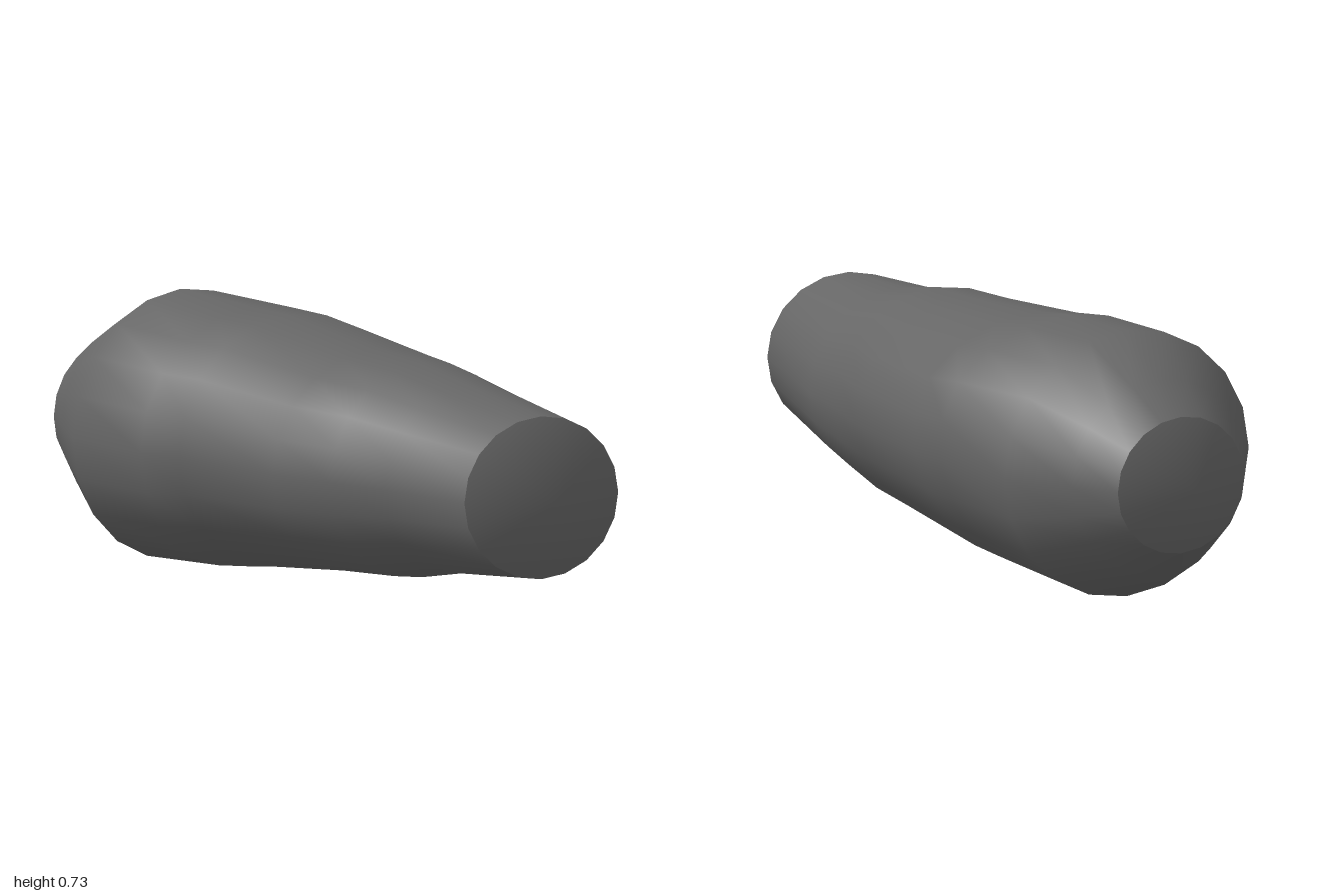
import * as THREE from 'three';

const SIDES = 20, CY = 0.37;

// Cross-sections back to front: [x right side, z there, x left side, z there, half height, upper-left bulge]
const RINGS = [
  [-0.21, -0.92, 0.185, -0.92, 0.188, 0],
  [-0.286, -0.8, 0.255, -0.8, 0.267, 0],
  [-0.4, -0.62, 0.36, -0.62, 0.366, 0],
  [-0.41, -0.33, 0.392, -0.33, 0.354, 0.02],
  [-0.37, -0.22, 0.405, -0.22, 0.343, 0.03],
  [-0.365, 0.16, 0.365, 0.16, 0.304, 0.015],
  [-0.33, 0.36, 0.315, 0.36, 0.293, 0],
  [-0.295, 0.54, 0.285, 0.54, 0.258, 0],
  [-0.27, 0.84, 0.163, 0.97, 0.222, 0],
];

function ringPoints([x0, z0, x1, z1, ry, bulge]) {
  const points = [];
  for (let j = 0; j < SIDES; j++) {
    const a = (j / SIDES) * Math.PI * 2, c = Math.cos(a);
    const t = (c + 1) / 2;
    const push = c > 0 ? bulge * Math.sin(2 * a) : 0;
    points.push(x0 + (x1 - x0) * t + push, CY + ry * Math.sin(a), z0 + (z1 - z0) * t);
  }
  return points;
}

function makeMesh(name, positions, index, material) {
  const geometry = new THREE.BufferGeometry();
  geometry.setAttribute('position', new THREE.Float32BufferAttribute(positions, 3));
  geometry.setIndex(index);
  geometry.computeVertexNormals();
  const mesh = new THREE.Mesh(geometry, material);
  mesh.name = name;
  return mesh;
}

// Shallow cone closing one end
function makeCap(name, ring, apex, front, material) {
  const index = [];
  for (let j = 0; j < SIDES; j++) {
    const k = (j + 1) % SIDES;
    index.push(SIDES, front ? j : k, front ? k : j);
  }
  return makeMesh(name, [...ringPoints(ring), ...apex], index, material);
}

export function createModel() {
  const group = new THREE.Group();
  group.name = 'taperedLimb';
  const material = new THREE.MeshStandardMaterial({ color: 0x666666 });

  // Lofted smooth body
  const positions = RINGS.flatMap(ringPoints), index = [];
  for (let i = 0; i < RINGS.length - 1; i++) {
    for (let j = 0; j < SIDES; j++) {
      const k = (j + 1) % SIDES;
      const a = i * SIDES + j, b = i * SIDES + k;
      index.push(a, b, b + SIDES, a, b + SIDES, a + SIDES);
    }
  }
  group.add(makeMesh('body', positions, index, material));

  // End caps
  group.add(makeCap('backCap', RINGS[0], [-0.015, CY, -1], false, material));
  group.add(makeCap('frontCap', RINGS[RINGS.length - 1], [-0.08, CY, 1], true, material));
  return group;
}
